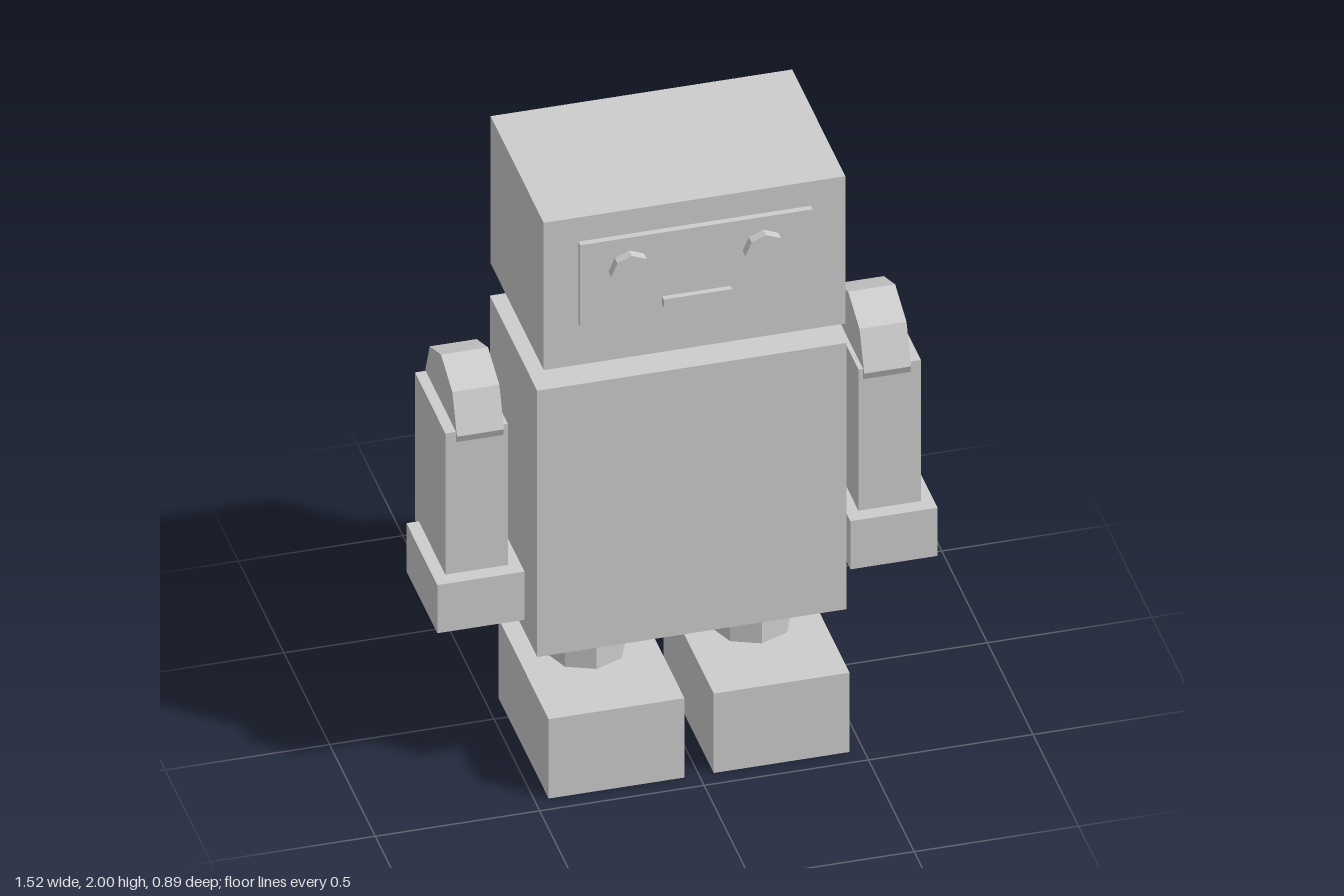
import * as THREE from 'three';

export function createModel() {
  const group = new THREE.Group();
  const material = new THREE.MeshStandardMaterial({ color: 0xcccccc });
  material.name = 'light grey';

  // Faceted mesh: every triangle keeps its own flat normal
  function add(name, geometry, x, y, z) {
    const flat = geometry.index ? geometry.toNonIndexed() : geometry;
    flat.computeVertexNormals();
    const mesh = new THREE.Mesh(flat, material);
    mesh.name = name;
    mesh.position.set(x, y, z);
    group.add(mesh);
    return mesh;
  }

  // Box given by its centre x, width and its y and z ranges
  const box = (name, x, width, y0, y1, z0, z1) =>
    add(name, new THREE.BoxGeometry(width, y1 - y0, z1 - z0), x, (y0 + y1) / 2, (z0 + z1) / 2);

  // Eight-sided rod along an axis
  function rod(name, radius, length, axis, x, y, z) {
    const geometry = new THREE.CylinderGeometry(radius, radius, length, 8);
    if (axis === 'x') geometry.rotateZ(Math.PI / 2);
    if (axis === 'z') geometry.rotateX(Math.PI / 2);
    return add(name, geometry, x, y, z);
  }

  // Head, neck and body
  box('head', 0, 0.917, 1.48, 2, -0.187, 0.395);
  rod('neck', 0.147, 0.11, 'y', 0, 1.435, 0.106);
  box('body', 0, 0.94, 0.45, 1.39, -0.154, 0.365);

  // Face
  box('facePlate', 0, 0.707, 1.628, 1.915, 0.39, 0.415);
  box('mouth', 0, 0.208, 1.662, 1.69, 0.41, 0.433);

  // Paired parts
  for (const [side, s] of [['left', 1], ['right', -1]]) {
    rod(side + 'Eye', 0.063, 0.035, 'z', s * 0.204, 1.807, 0.4275);
    rod(side + 'Shoulder', 0.176, 0.143, 'x', s * 0.619, 1.213, 0.105);
    box(side + 'Arm', s * 0.628, 0.19, 0.703, 1.223, -0.063, 0.27);
    box(side + 'Hand', s * 0.628, 0.265, 0.555, 0.725, -0.021, 0.317);
    rod(side + 'Leg', 0.122, 0.19, 'y', s * 0.251, 0.365, 0.106);
    box(side + 'Foot', s * 0.251, 0.413, 0, 0.28, -0.106, 0.445);

    // Wind-up key loop, a little wider than tall
    const loop = new THREE.TorusGeometry(0.093, 0.037, 6, 8);
    loop.scale(1.19, 1, 0.032 / 0.032);
    add(side + 'KeyLoop', loop, s * 0.139, 1.117, -0.413);
  }

  // Wind-up key shaft
  rod('keyShaft', 0.068, 0.25, 'z', 0, 1.112, -0.265);

  return group;
}
